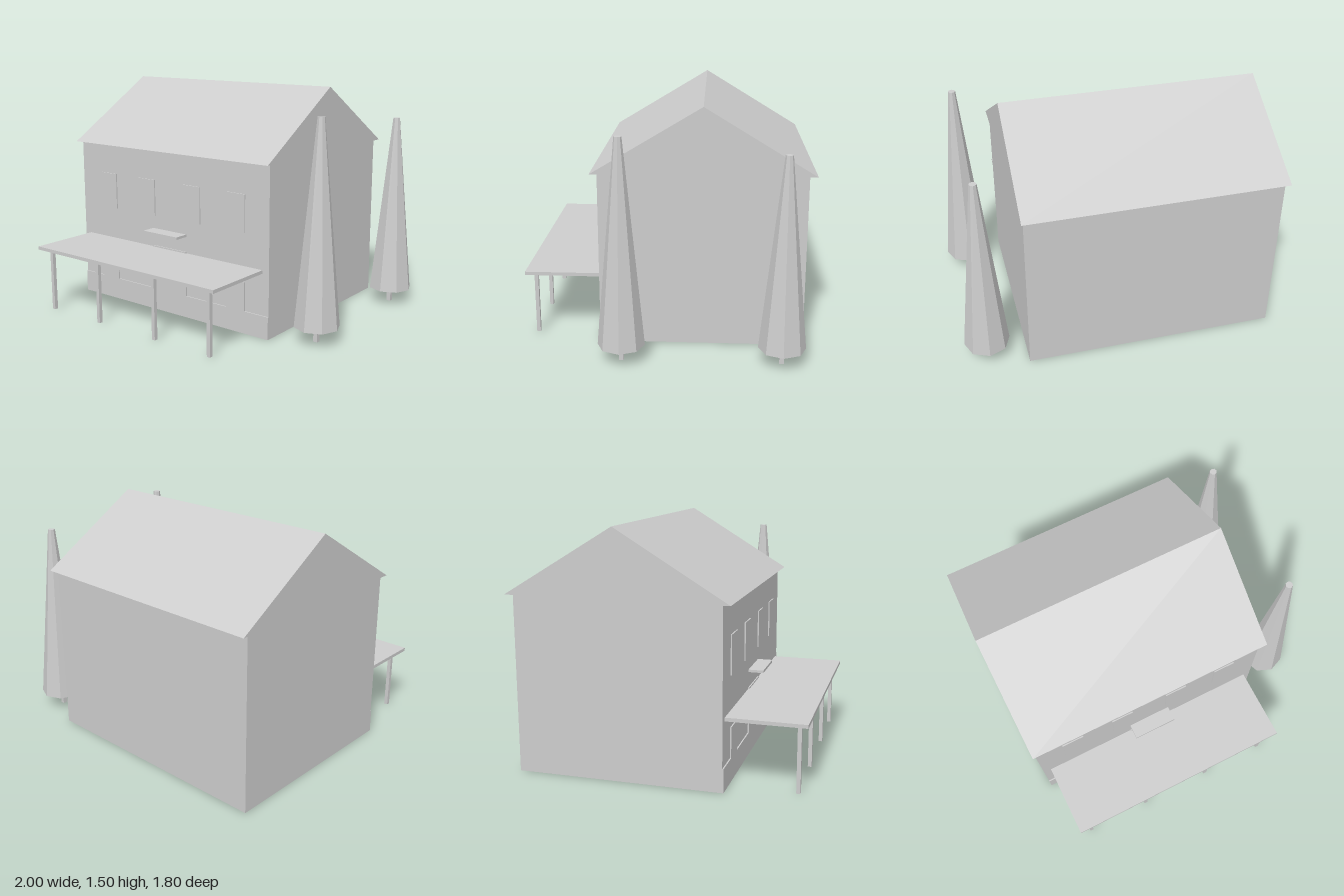
import * as THREE from 'three';

export function createModel() {
  const model = new THREE.Group();
  model.name = 'houseWithTrees';
  const grey = new THREE.MeshStandardMaterial({ color: 0xcccccc, flatShading: true });
  grey.name = 'plainGrey';

  function add(name, geometry, x = 0, y = 0, z = 0, parent = model) {
    const mesh = new THREE.Mesh(geometry, grey);
    mesh.name = name;
    mesh.position.set(x, y, z);
    parent.add(mesh);
    return mesh;
  }

  // Box given by its lower and upper limits on each axis
  function block(name, x0, x1, y0, y1, z0, z1, parent = model) {
    const geometry = new THREE.BoxGeometry(x1 - x0, y1 - y0, z1 - z0);
    return add(name, geometry, (x0 + x1) / 2, (y0 + y1) / 2, (z0 + z1) / 2, parent);
  }

  // Main body
  const wallZ = 0.422, plateZ = 0.43;
  block('walls', -0.985, 0.61, 0, 1.09, -0.848, wallZ);

  // Gable roof: triangle profile extruded along x
  const gable = new THREE.Shape([
    new THREE.Vector2(-0.468, 1.09),
    new THREE.Vector2(0.897, 1.09),
    new THREE.Vector2(0.215, 1.503),
  ]);
  const roof = new THREE.ExtrudeGeometry(gable, { depth: 1.626, bevelEnabled: false });
  roof.rotateY(Math.PI / 2);
  add('roof', roof, -1, 0, 0);

  // Thin plates on the front wall
  const plate = (name, x0, x1, y0, y1) => block(name, x0, x1, y0, y1, wallZ, plateZ);
  plate('plinth', -0.985, 0.61, 0, 0.146);
  plate('door', -0.331, -0.043, 0.146, 0.445);
  [-0.733, -0.381, 0.004, 0.358].forEach((x, i) => {
    plate('upperWindow', x - 0.072, x + 0.072, 0.648, 0.889);
    if (i === 0 || i === 3) plate('lowerWindow', x - 0.072, x + 0.072, 0.146, 0.335);
  });

  // Small ledge above the porch
  block('ledge', -0.331, -0.043, 0.546, 0.562, wallZ, 0.518);

  // Porch canopy on four posts
  const porch = new THREE.Group();
  porch.name = 'porch';
  model.add(porch);
  block('canopy', -0.936, 0.562, 0.414, 0.436, wallZ, 0.898, porch);
  for (const x of [-0.861, -0.428, 0.053, 0.487]) {
    block('post', x - 0.012, x + 0.012, 0, 0.414, 0.829, 0.853, porch);
  }

  // Eight-sided tapered trees on short trunks
  function tree(z, top) {
    const group = new THREE.Group();
    group.name = 'tree';
    group.position.set(0.855, 0, z);
    model.add(group);
    block('trunk', -0.014, 0.014, 0, 0.099, -0.014, 0.014, group);
    const crown = new THREE.CylinderGeometry(0.023, 0.143, top - 0.099, 8);
    add('crown', crown, 0, (top + 0.099) / 2, 0, group);
  }
  tree(0.262, 1.373);
  tree(-0.7, 1.278);

  return model;
}
